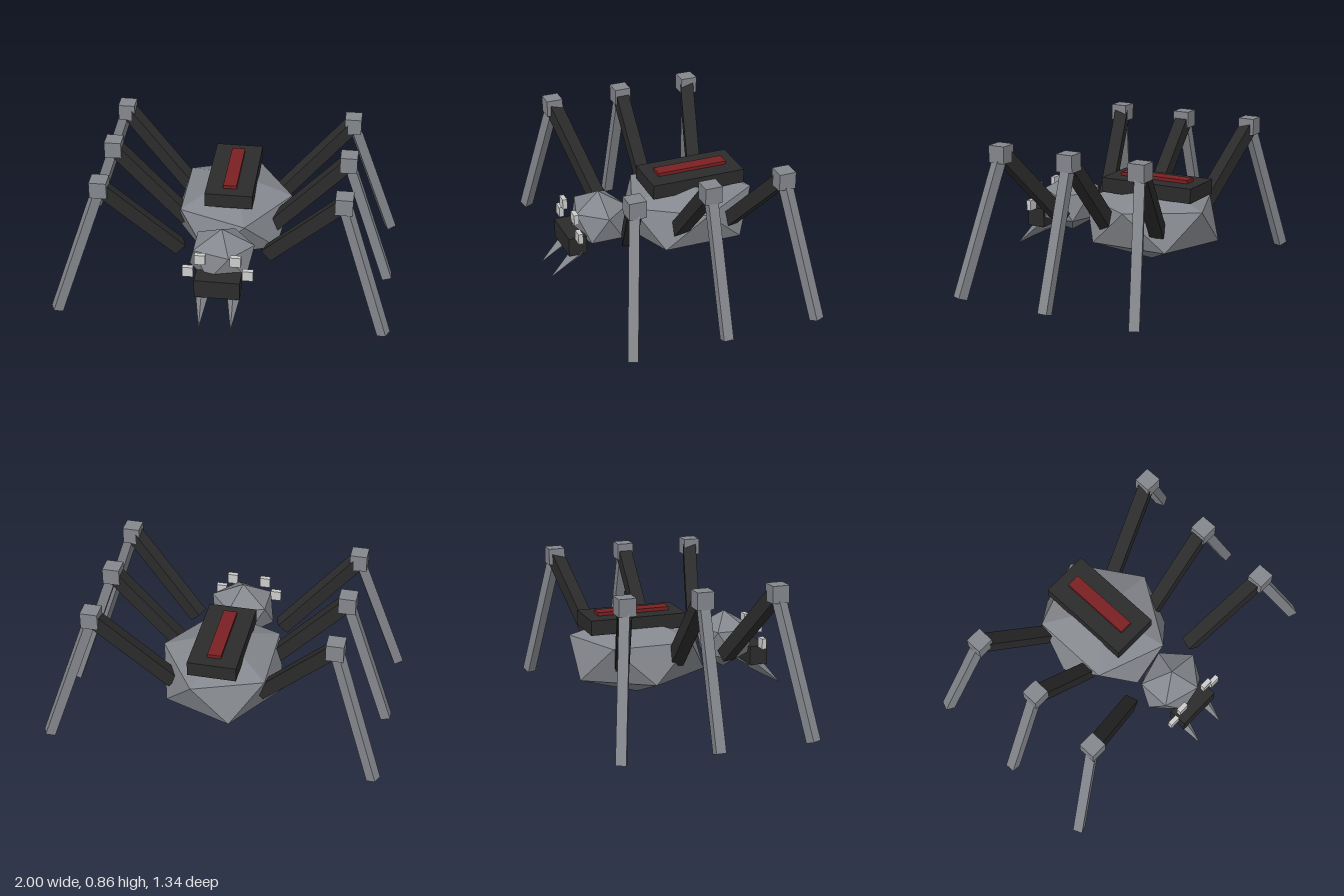
import * as THREE from 'three';

export function createModel() {
  const model = new THREE.Group();
  const material = (name, color) => {
    const m = new THREE.MeshStandardMaterial({ color, flatShading: true });
    m.name = name;
    return m;
  };
  const grey = material('plate grey', 0x84878d);
  const dark = material('dark armour', 0x2b2b2b);
  const red = material('warning red', 0x7a2022);
  const pale = material('pale eye', 0xcccccc);

  const add = (name, geometry, mat, x, y, z) => {
    const mesh = new THREE.Mesh(geometry, mat);
    mesh.name = name;
    mesh.position.set(x, y, z);
    model.add(mesh);
    return mesh;
  };
  const box = (name, mat, w, h, d, x, y, z) =>
    add(name, new THREE.BoxGeometry(w, h, d), mat, x, y, z);

  // Faceted body: an icosahedron standing on a corner, stretched
  const facetBody = (name, rx, ry, rz, y, z) => {
    const g = new THREE.IcosahedronGeometry(1, 0);
    g.rotateZ(-Math.atan(2 / (1 + Math.sqrt(5))));
    g.scale(rx, ry, rz);
    g.computeVertexNormals();
    return add(name, g, grey, 0, y, z);
  };

  // Square beam between two points
  const beam = (name, mat, size, a, b) => {
    const from = new THREE.Vector3(...a), to = new THREE.Vector3(...b);
    const mid = from.clone().add(to).multiplyScalar(0.5);
    const mesh = box(name, mat, size, size, from.distanceTo(to), mid.x, mid.y, mid.z);
    mesh.lookAt(to);
    return mesh;
  };

  facetBody('abdomen', 0.4, 0.245, 0.451, 0.349, -0.225);
  facetBody('head', 0.213, 0.175, 0.185, 0.381, 0.328);

  // Back plate with stripe
  box('backPlate', dark, 0.284, 0.087, 0.58, 0, 0.5535, -0.257);
  box('backStripe', red, 0.08, 0.022, 0.434, 0, 0.606, -0.257);

  // Jaw
  box('jaw', dark, 0.264, 0.114, 0.11, 0, 0.29, 0.505);

  // Hip, knee and foot z for each pair of legs
  const legs = [
    ['front', 0.238, 0.367, 0.484],
    ['middle', -0.078, -0.078, -0.078],
    ['rear', -0.403, -0.525, -0.64],
  ];

  for (const [side, s] of [['Left', 1], ['Right', -1]]) {
    // Eyes
    box('innerEye' + side, pale, 0.063, 0.063, 0.028, s * 0.102, 0.466, 0.51);
    box('outerEye' + side, pale, 0.063, 0.063, 0.028, s * 0.173, 0.377, 0.51);

    // Fang pointing forward and down
    const fang = new THREE.ConeGeometry(0.045, 0.24, 4);
    fang.rotateX(Math.PI / 2 + 0.7);
    add('fang' + side, fang, grey, s * 0.092, 0.167, 0.575);

    // Legs
    for (const [pair, hipZ, kneeZ, footZ] of legs) {
      const knee = [s * 0.695, 0.815, kneeZ];
      beam(pair + 'UpperLeg' + side, dark, 0.08, [s * 0.262, 0.352, hipZ], knee);
      beam(pair + 'LowerLeg' + side, grey, 0.058, knee, [s * 0.962, 0.013, footZ]);
      box(pair + 'Knee' + side, grey, 0.1, 0.1, 0.1, ...knee);
    }
  }
  return model;
}
